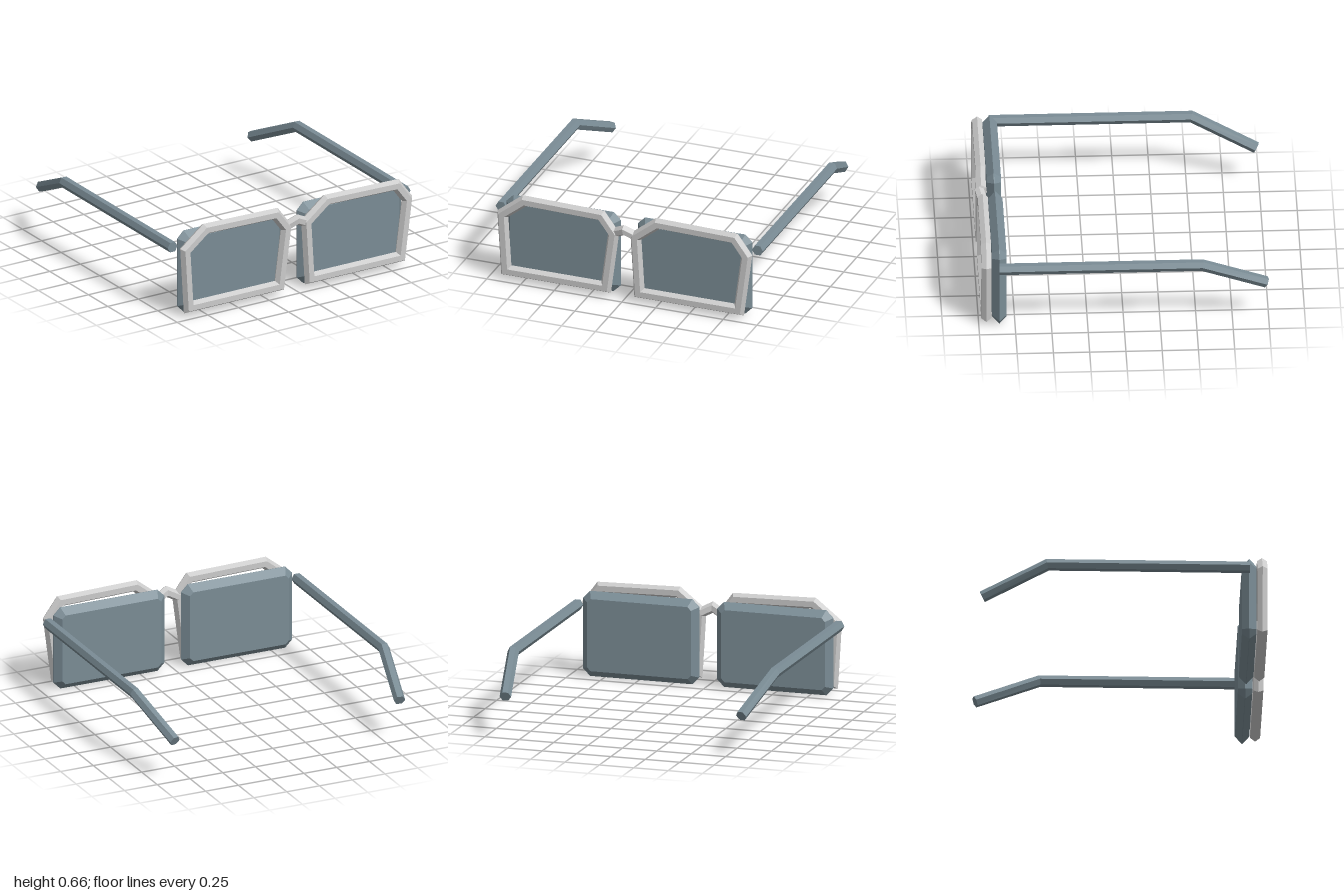
import * as THREE from 'three';

const V = (x, y, z) => new THREE.Vector3(x, y, z);

// Hexagonal bar swept along straight segments with mitred joints
function hexBar(path, radius, up, closed = false) {
  const n = path.length, rings = [], pos = [];
  const dir = (i, j) => path[j].clone().sub(path[i]).normalize();
  for (let i = 0; i < n; i++) {
    const first = i === 0 && !closed, last = i === n - 1 && !closed;
    const dOut = last ? dir(i - 1, i) : dir(i, (i + 1) % n);
    const dIn = first ? dOut : dir((i + n - 1) % n, i);
    const miter = dIn.clone().add(dOut).normalize();
    const side = dIn.clone().cross(up).normalize();
    const top = side.clone().cross(dIn);
    const ring = [];
    for (let k = 0; k < 6; k++) {
      const a = k * Math.PI / 3;
      const o = side.clone().multiplyScalar(radius * Math.cos(a))
        .addScaledVector(top, radius * Math.sin(a));
      o.addScaledVector(dIn, -o.dot(miter) / dIn.dot(miter));
      ring.push(o.add(path[i]));
    }
    rings.push(ring);
  }
  const tri = (...p) => p.forEach(q => pos.push(q.x, q.y, q.z));
  for (let i = 0; i < (closed ? n : n - 1); i++) {
    const A = rings[i], B = rings[(i + 1) % n];
    for (let k = 0; k < 6; k++) {
      const m = (k + 1) % 6;
      tri(A[k], B[k], B[m]);
      tri(A[k], B[m], A[m]);
    }
  }
  if (!closed) {
    const A = rings[0], B = rings[n - 1];
    for (let k = 1; k < 5; k++) {
      tri(A[0], A[k], A[k + 1]);
      tri(B[0], B[k + 1], B[k]);
    }
  }
  const g = new THREE.BufferGeometry();
  g.setAttribute('position', new THREE.Float32BufferAttribute(pos, 3));
  g.computeVertexNormals();
  return g;
}

// Thick rectangular lens with clipped corners and a pointed, bevelled edge
function lensGeometry(w, h, thickness, bevel, clip) {
  const x = w / 2 - bevel, y = h / 2 - bevel, c = clip;
  const shape = new THREE.Shape([
    [-x + c, -y], [x - c, -y], [x, -y + c], [x, y - c],
    [x - c, y], [-x + c, y], [-x, y - c], [-x, -y + c],
  ].map(p => new THREE.Vector2(...p)));
  const depth = 0.004;
  const g = new THREE.ExtrudeGeometry(shape, {
    depth, bevelEnabled: true, bevelSegments: 1,
    bevelThickness: (thickness - depth) / 2, bevelSize: bevel,
  });
  return g.translate(0, 0, -depth / 2);
}

export function createModel() {
  const group = new THREE.Group();
  const rimMat = new THREE.MeshStandardMaterial({ color: 0xcccccc, flatShading: true });
  const darkMat = new THREE.MeshStandardMaterial({ color: 0x7a8c95, flatShading: true });
  const add = (name, geometry, material) => {
    const mesh = new THREE.Mesh(geometry, material);
    mesh.name = name;
    group.add(mesh);
    return mesh;
  };

  // Rims: the same asymmetric outline repeated for both eyes
  const rimPath = [
    [0.11, 0.07], [0.849, 0.07], [0.904, 0.49],
    [0.815, 0.61], [0.245, 0.622], [0.084, 0.495],
  ].map(([x, y]) => V(x, y, 0.948));
  const rim = hexBar(rimPath, 0.04, V(0, 0, 1), true);
  add('leftRim', rim, rimMat);
  add('rightRim', rim, rimMat).position.x = -0.985;

  // Bridge
  const bridge = [V(-0.085, 0.49, 0.938), V(0, 0.533, 0.96), V(0.085, 0.49, 0.938)];
  add('bridge', hexBar(bridge, 0.036, V(0, 0, 1)), rimMat);

  // Lenses and temples, mirrored
  const lens = lensGeometry(0.846, 0.604, 0.1, 0.046, 0.025);
  for (const [side, s] of [['left', 1], ['right', -1]]) {
    add(side + 'Lens', lens, darkMat).position.set(s * 0.487, 0.302, 0.857);
    const temple = [
      V(s * 0.949, 0.5, 0.86), V(s * 0.949, 0.5, -0.537), V(s * 0.857, 0.293, -0.983),
    ];
    add(side + 'Temple', hexBar(temple, 0.04, V(0, 1, 0)), darkMat);
  }
  return group;
}
